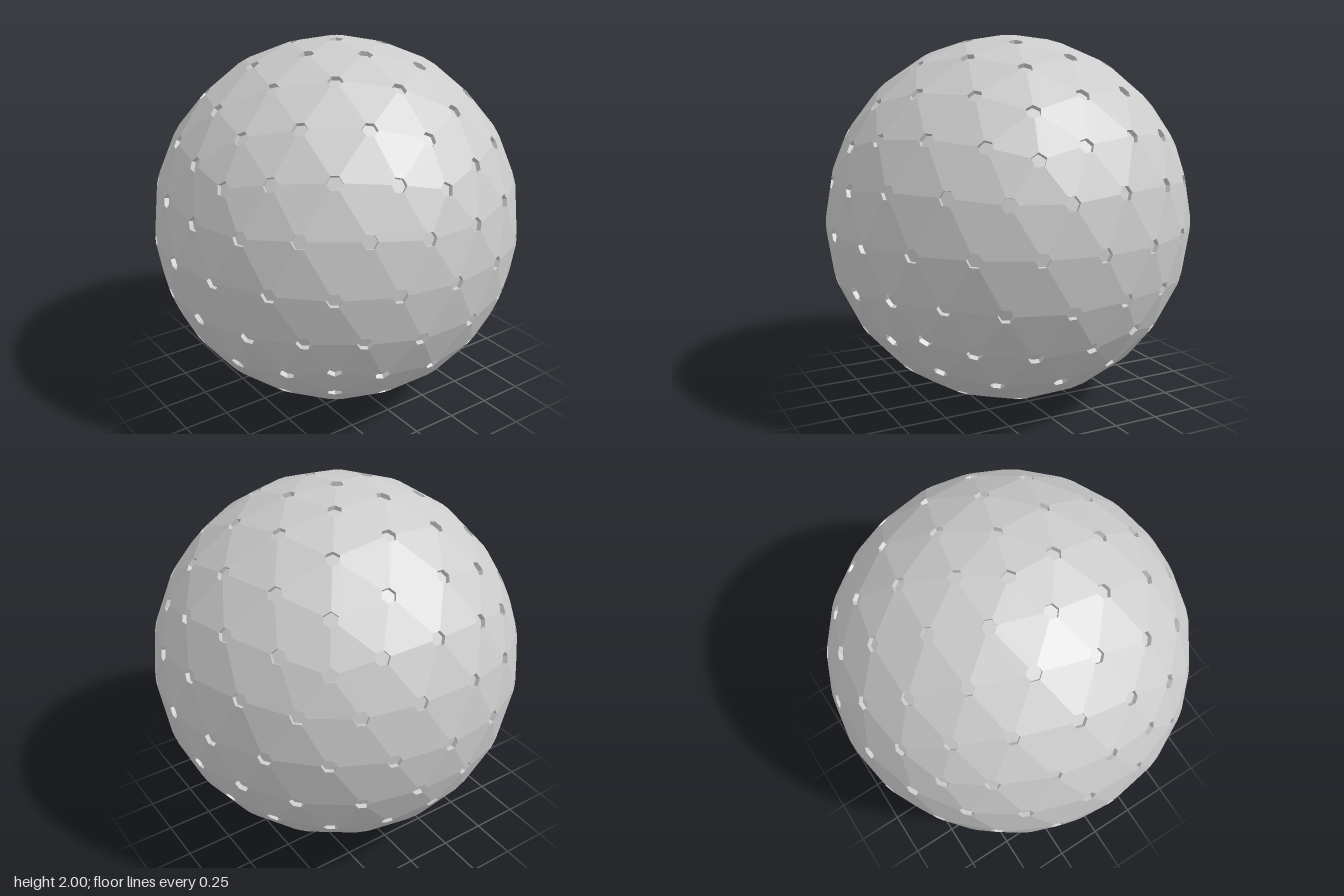
import * as THREE from 'three';

const R = 1.005;      // sphere radius before the corners are cut
const FREQ = 4;       // subdivisions per icosahedron edge
const SOCKET = 0.04;  // socket radius
const DEPTH = 0.025;  // socket depth

// The 20 faces of an icosahedron standing on one corner
function icosahedronFaces() {
  const y = 1 / Math.sqrt(5), r = 2 / Math.sqrt(5);
  const ring = (deg, h) => {
    const a = THREE.MathUtils.degToRad(deg);
    return new THREE.Vector3(r * Math.cos(a), h, -r * Math.sin(a));
  };
  const top = new THREE.Vector3(0, 1, 0), bottom = new THREE.Vector3(0, -1, 0);
  const faces = [];
  for (let k = 0; k < 5; k++) {
    const u0 = ring(72 * k, y), u1 = ring(72 * (k + 1), y);
    const l0 = ring(72 * k + 36, -y), l1 = ring(72 * k + 108, -y);
    faces.push([top, u0, u1], [u0, l0, u1], [l0, l1, u1], [bottom, l1, l0]);
  }
  return faces;
}

// Split each face into FREQ * FREQ triangles pushed out to the sphere
function geodesicTriangles() {
  const out = [];
  for (const [a, b, c] of icosahedronFaces()) {
    const at = (i, j) => new THREE.Vector3()
      .addScaledVector(a, FREQ - i - j).addScaledVector(b, i).addScaledVector(c, j).setLength(R);
    for (let i = 0; i < FREQ; i++) {
      for (let j = 0; j < FREQ - i; j++) {
        out.push([at(i, j), at(i + 1, j), at(i, j + 1)]);
        if (i + j < FREQ - 1) out.push([at(i + 1, j), at(i + 1, j + 1), at(i, j + 1)]);
      }
    }
  }
  return out;
}

// Add a convex polygon as a fan of triangles
function addPolygon(list, pts) {
  for (let i = 1; i < pts.length - 1; i++) {
    for (const p of [pts[0], pts[i], pts[i + 1]]) list.push(p.x, p.y, p.z);
  }
}

function flatMesh(name, positions) {
  const geo = new THREE.BufferGeometry();
  geo.setAttribute('position', new THREE.Float32BufferAttribute(positions, 3));
  geo.computeVertexNormals();
  const mesh = new THREE.Mesh(geo, new THREE.MeshStandardMaterial({ color: 0xcccccc, flatShading: true }));
  mesh.name = name;
  return mesh;
}

export function createModel() {
  const panels = [], walls = [], floors = [];
  const floorHeight = R - SOCKET * 0.14 - DEPTH;
  // Point on the edge from p to q, one socket radius away from p
  const cut = (p, q) => q.clone().sub(p).setLength(SOCKET).add(p);

  for (const tri of geodesicTriangles()) {
    const outline = [];
    for (let k = 0; k < 3; k++) {
      const p = tri[k], next = tri[(k + 1) % 3], prev = tri[(k + 2) % 3];
      const n = p.clone().normalize();
      const drop = (v) => v.clone().addScaledVector(n, floorHeight - v.dot(n));
      const a = cut(p, next), b = cut(p, prev);
      outline.push(b, a);
      // This triangle's share of the socket around corner p
      addPolygon(walls, [a, b, drop(b), drop(a)]);
      addPolygon(floors, [drop(p), drop(a), drop(b)]);
    }
    addPolygon(panels, outline);
  }

  const group = new THREE.Group();
  group.name = 'geodesicBall';
  group.add(flatMesh('panels', panels), flatMesh('socketWalls', walls), flatMesh('socketFloors', floors));
  group.position.y = 1;
  const root = new THREE.Group();
  root.add(group);
  return root;
}
